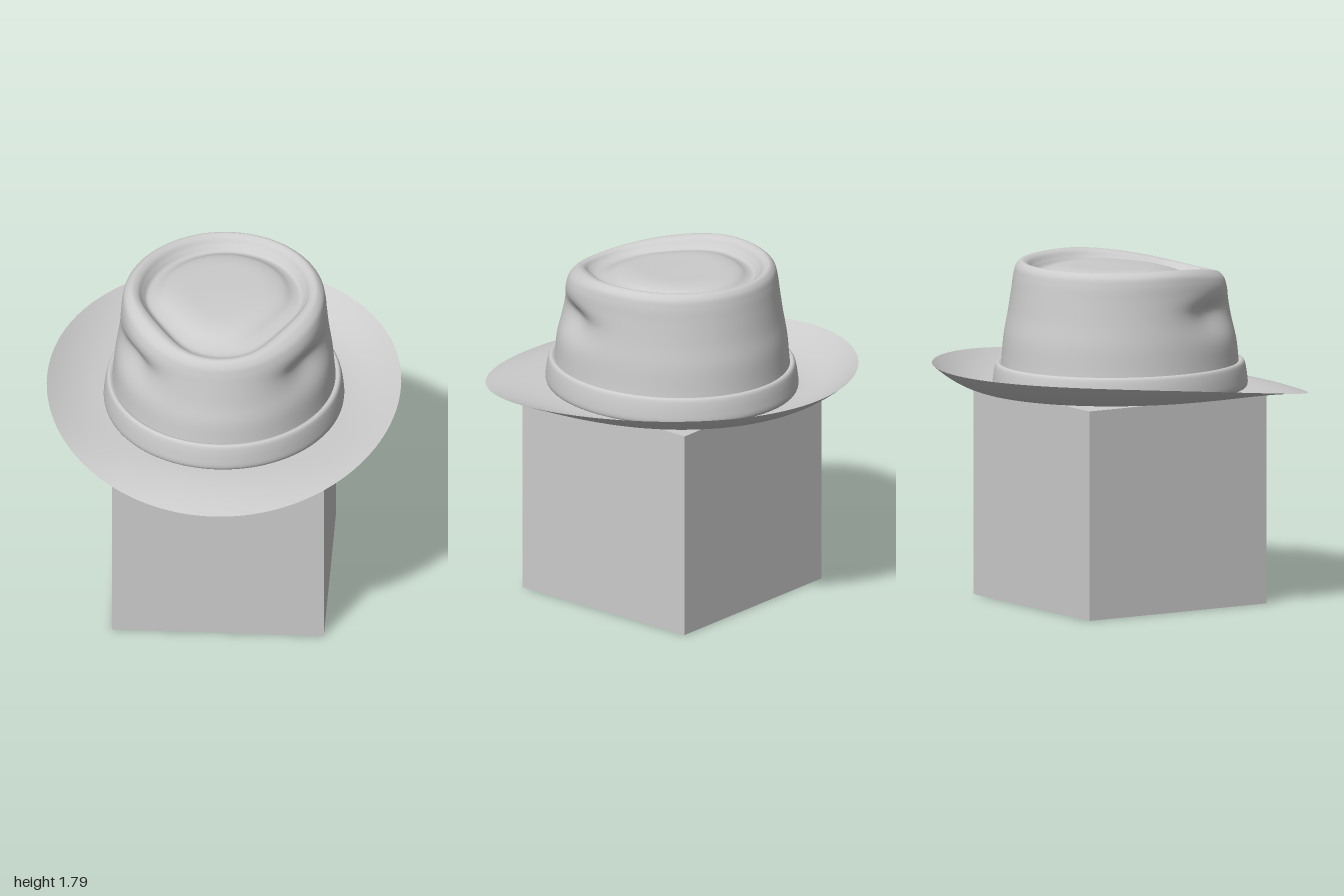
import * as THREE from 'three';

const SEGS = 128;

// Closed-ring loft: point(v, phi) gives [x, y, z]; phi = 0 faces +z, v runs up the outside
function loft(name, rows, point) {
  const pos = [], idx = [];
  for (let j = 0; j <= rows; j++) {
    for (let i = 0; i < SEGS; i++) pos.push(...point(j / rows, (i / SEGS) * Math.PI * 2));
  }
  for (let j = 0; j < rows; j++) {
    for (let i = 0; i < SEGS; i++) {
      const a = j * SEGS + i, b = j * SEGS + (i + 1) % SEGS;
      idx.push(a, b, a + SEGS, b, b + SEGS, a + SEGS);
    }
  }
  const geo = new THREE.BufferGeometry();
  geo.setAttribute('position', new THREE.Float32BufferAttribute(pos, 3));
  geo.setIndex(idx);
  geo.computeVertexNormals();
  const mesh = new THREE.Mesh(geo, new THREE.MeshStandardMaterial({ color: 0xcccccc, side: THREE.DoubleSide }));
  mesh.name = name;
  return mesh;
}

const spline = (pts) => new THREE.CatmullRomCurve3(pts.map((p) => new THREE.Vector3(...p)));
const BASE = 1.11;

// Height of the crown's rim, sloping down to the front
const rimHeight = (z) => 1.785 - 0.1 * Math.pow(Math.max(0, Math.min(z, 0.57) + 0.1) / 0.65, 2.2);

function makeCrown() {
  // half-width, half-depth, fraction of the rim height
  const profile = spline([
    [0.6, 0.655, 0], [0.58, 0.635, 0.2], [0.566, 0.62, 0.43], [0.55, 0.597, 0.6],
    [0.536, 0.577, 0.78], [0.528, 0.563, 0.9], [0.515, 0.55, 0.965], [0.482, 0.525, 1],
    [0.45, 0.497, 0.985], [0.425, 0.47, 0.94], [0.4, 0.435, 0.905], [0.36, 0.39, 0.912],
    [0.31, 0.34, 0.945], [0.24, 0.27, 0.962], [0.12, 0.135, 0.962], [0, 0, 0.962],
  ]);
  return loft('crown', 110, (v, phi) => {
    const p = profile.getPoint(v);
    const s = Math.sin(phi), c = Math.cos(phi);
    // teardrop taper of the top, towards the front
    const taper = c > 0 ? 0.13 * THREE.MathUtils.smoothstep(v, 0.3, 0.6) * Math.sin(2 * phi) ** 2 : 0;
    let x = p.x * s * (1 - taper);
    let z = p.y * c - 0.03 * THREE.MathUtils.smoothstep(v, 0.6, 0.8);
    const y = BASE + p.z * (rimHeight(z) - BASE);
    // pinch on each side of the front
    if (v < 0.5) {
      const around = (Math.atan2(c, Math.abs(s)) - 0.52) / 0.34;
      const up = (y - 1.54) / (y > 1.54 ? 0.06 : 0.1);
      const dent = 1 - 0.1 * Math.exp(-around * around - up * up);
      x *= dent;
      z *= dent;
    }
    return [x, y, z];
  });
}

function makeBand() {
  // half-width, half-depth, height
  const profile = spline([
    [0.6, 0.655, 1.112], [0.618, 0.672, 1.114], [0.624, 0.679, 1.13], [0.622, 0.676, 1.17],
    [0.614, 0.668, 1.22], [0.606, 0.66, 1.245], [0.594, 0.648, 1.253], [0.575, 0.63, 1.245],
  ]);
  return loft('hatBand', 28, (v, phi) => {
    const p = profile.getPoint(v);
    return [p.x * Math.sin(phi), p.z, p.y * Math.cos(phi)];
  });
}

// Brim: flat near the crown, dipping at the front and curling up at the sides and back
function makeBrim() {
  return loft('brim', 28, (v, phi) => {
    const t = 1 - v, c = Math.cos(phi);
    const edge = 1.203 - 0.105 * c - 0.056 * c * c;
    return [
      THREE.MathUtils.lerp(0.6, 0.92, t) * Math.sin(phi),
      BASE + (edge - BASE) * Math.pow(t, 2.1),
      THREE.MathUtils.lerp(0.655, 1, t) * c,
    ];
  });
}

export function createModel() {
  const group = new THREE.Group();
  group.name = 'hatOnBlock';

  // Cube stand
  const block = new THREE.Mesh(
    new THREE.BoxGeometry(1.1, 1.1, 1.1),
    new THREE.MeshStandardMaterial({ color: 0xcccccc }),
  );
  block.name = 'block';
  block.position.y = 0.55;

  group.add(block, makeBrim(), makeBand(), makeCrown());
  return group;
}
